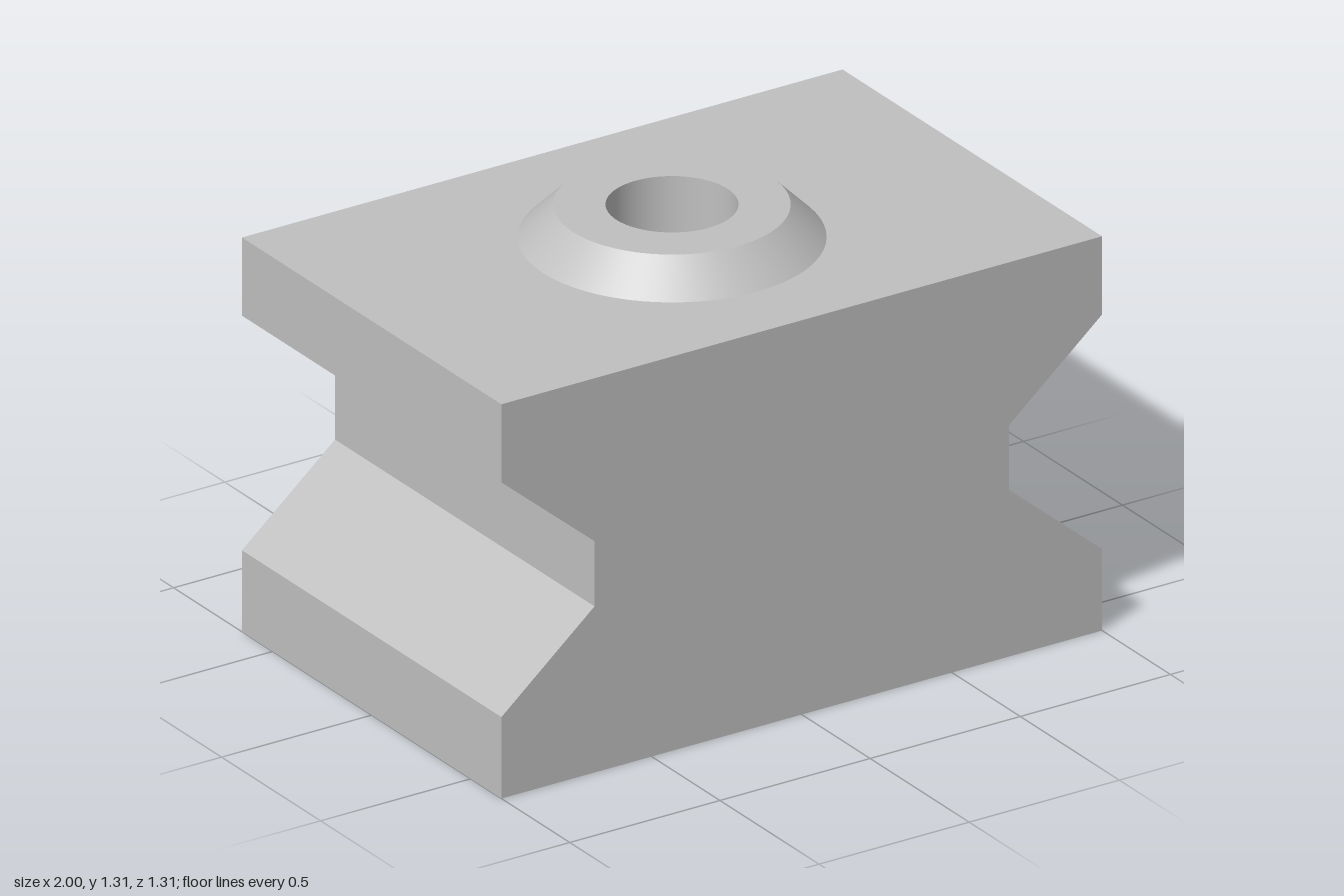
import * as THREE from 'three';

const W = 1, D = 0.655, H = 1.21, TOP = 1.31;   // half width, half depth, block height, boss height
const BORE = 0.185, BOSS_LOW = 0.43, BOSS_TOP = 0.33;
const SLOT_END = 0.43, SLOT_TOP = 1.06, LEDGE = 0.885, FLOOR = 0.73;
const WIDE = 0.78, NARROW = 0.233;
const SEG = 64;

const v = ([x, y]) => new THREE.Vector2(x, y);
const mirrorX = (half) => [...half, ...half.map(([x, y]) => [-x, y]).reverse()];

// Right halves from bottom to top, mirrored into full counter-clockwise outlines
const bodyOutline = mirrorX([[W, 0], [W, 0.25], [0.69, 0.51], [0.69, 0.71], [W, 0.97], [W, H]]);
const slotOutline = mirrorX([[NARROW, FLOOR], [NARROW, LEDGE], [WIDE, LEDGE], [WIDE, SLOT_TOP]]);

// Flat quads sweeping an open path along z
function strip(path, z0, z1) {
  const pos = [];
  for (let i = 0; i < path.length - 1; i++) {
    const [a, b] = path[i], [c, d] = path[i + 1];
    pos.push(a, b, z0, c, d, z0, c, d, z1, a, b, z0, c, d, z1, a, b, z1);
  }
  const g = new THREE.BufferGeometry();
  g.setAttribute('position', new THREE.Float32BufferAttribute(pos, 3));
  g.computeVertexNormals();
  return g;
}

// Horizontal rectangle with a round opening at the origin, facing up or down
function plate(halfW, z0, z1, y, r, up) {
  const s = up ? -1 : 1;
  const [a, b] = up ? [-z1, -z0] : [z0, z1];
  const shape = new THREE.Shape([[-halfW, a], [halfW, a], [halfW, b], [-halfW, b]].map(v));
  shape.holes.push(new THREE.Path().absarc(0, 0, r, 0, Math.PI * 2, true));
  return new THREE.ShapeGeometry(shape, SEG / 2).rotateX(s * Math.PI / 2).translate(0, y, 0);
}

const ring = (...pts) => new THREE.LatheGeometry(pts.map(v), SEG);

export function createModel() {
  const model = new THREE.Group();
  const grey = new THREE.MeshStandardMaterial({ color: 0xc0c0c0 });
  grey.name = 'light grey';

  const part = (name, ...geometries) => {
    const group = new THREE.Group();
    group.name = name;
    geometries.forEach((g) => {
      const mesh = new THREE.Mesh(g, grey);
      mesh.name = name;
      group.add(mesh);
    });
    model.add(group);
  };

  // Block with V-grooved sides
  const front = new THREE.Shape(bodyOutline.map(v));
  const back = new THREE.Shape(bodyOutline.map(v));
  back.holes.push(new THREE.Path(slotOutline.map(v)));
  part('frontFace', new THREE.ShapeGeometry(front).translate(0, 0, D));
  part('backFace', new THREE.ShapeGeometry(back).rotateY(Math.PI).translate(0, 0, -D));
  part('groovedSides', strip(bodyOutline.slice(0, 6), -D, D), strip(bodyOutline.slice(6), -D, D));
  part('topFace', plate(W, -D, D, H, BOSS_LOW, true));
  part('bottomFace', plate(W, -D, D, 0, BORE, false));

  // T-shaped slot entering from the back
  const inner = [...slotOutline].reverse();
  part('slotWalls', strip(inner.slice(0, 4), -D, SLOT_END), strip(inner.slice(4), -D, SLOT_END));
  part('slotCeiling', plate(WIDE, -D, SLOT_END, SLOT_TOP, BORE, false));
  part('slotFloor', plate(NARROW, -D, SLOT_END, FLOOR, BORE, true));
  part('slotEnd', new THREE.ShapeGeometry(new THREE.Shape(slotOutline.map(v)))
    .rotateY(Math.PI).translate(0, 0, SLOT_END));

  // Conical boss and the bore through the whole block
  part('boss', ring([BOSS_LOW, H], [BOSS_TOP, TOP]), ring([BOSS_TOP, TOP], [BORE, TOP]));
  part('bore', ring([BORE, TOP], [BORE, SLOT_TOP]), ring([BORE, FLOOR], [BORE, 0]));

  return model;
}
